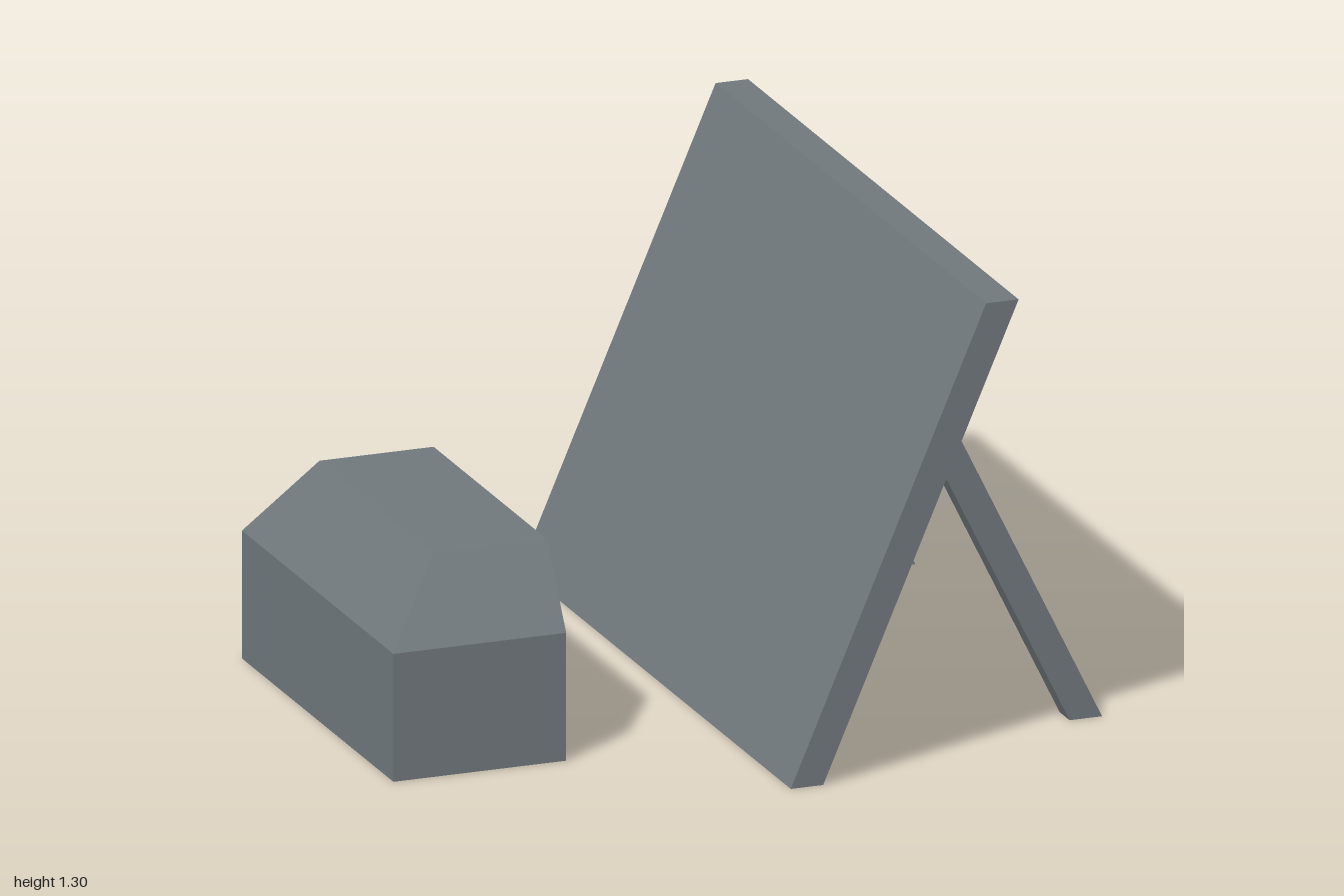
import * as THREE from 'three';

// Six-sided block between two horizontal rectangles, each [x0, x1, z0, z1]
function loftedBlock(name, material, y0, bottom, y1, top) {
  const geometry = new THREE.BoxGeometry(1, 1, 1);
  const p = geometry.attributes.position;
  for (let i = 0; i < p.count; i++) {
    const isTop = p.getY(i) > 0;
    const r = isTop ? top : bottom;
    p.setXYZ(i, p.getX(i) > 0 ? r[1] : r[0], isTop ? y1 : y0, p.getZ(i) > 0 ? r[3] : r[2]);
  }
  geometry.computeVertexNormals();
  const mesh = new THREE.Mesh(geometry, material);
  mesh.name = name;
  return mesh;
}

export function createModel() {
  const model = new THREE.Group();
  model.name = 'leaningPanelAndBlock';
  const slate = new THREE.MeshStandardMaterial({ color: 0x70787c });
  slate.name = 'slateGrey';

  // Large leaning panel
  model.add(loftedBlock('panel', slate, 0, [-0.015, 0.078, -1, 1], 1.3, [0.545, 0.638, -1, 1]));

  // Pair of slanted props behind the panel, their tops sunk into it
  for (const [name, z] of [['leftProp', -0.69], ['rightProp', 0.69]]) {
    const z0 = z - 0.037, z1 = z + 0.037;
    model.add(loftedBlock(name, slate, 0, [0.89, 0.983, z0, z1], 0.92, [0.44, 0.533, z0, z1]));
  }

  // Block with three sloping shoulders and one upright side
  const block = new THREE.Group();
  block.name = 'block';
  const foot = [-0.983, -0.488, -0.56, 0.56];
  block.add(loftedBlock('blockBase', slate, 0, foot, 0.36, foot));
  block.add(loftedBlock('blockTop', slate, 0.36, foot, 0.58, [-0.815, -0.488, -0.42, 0.42]));
  // Drop the two hidden faces where base and top meet
  block.children.forEach((mesh, i) => {
    const index = Array.from(mesh.geometry.index.array);
    index.splice(i === 0 ? 12 : 18, 6);
    mesh.geometry.setIndex(index);
  });
  model.add(block);
  return model;
}
